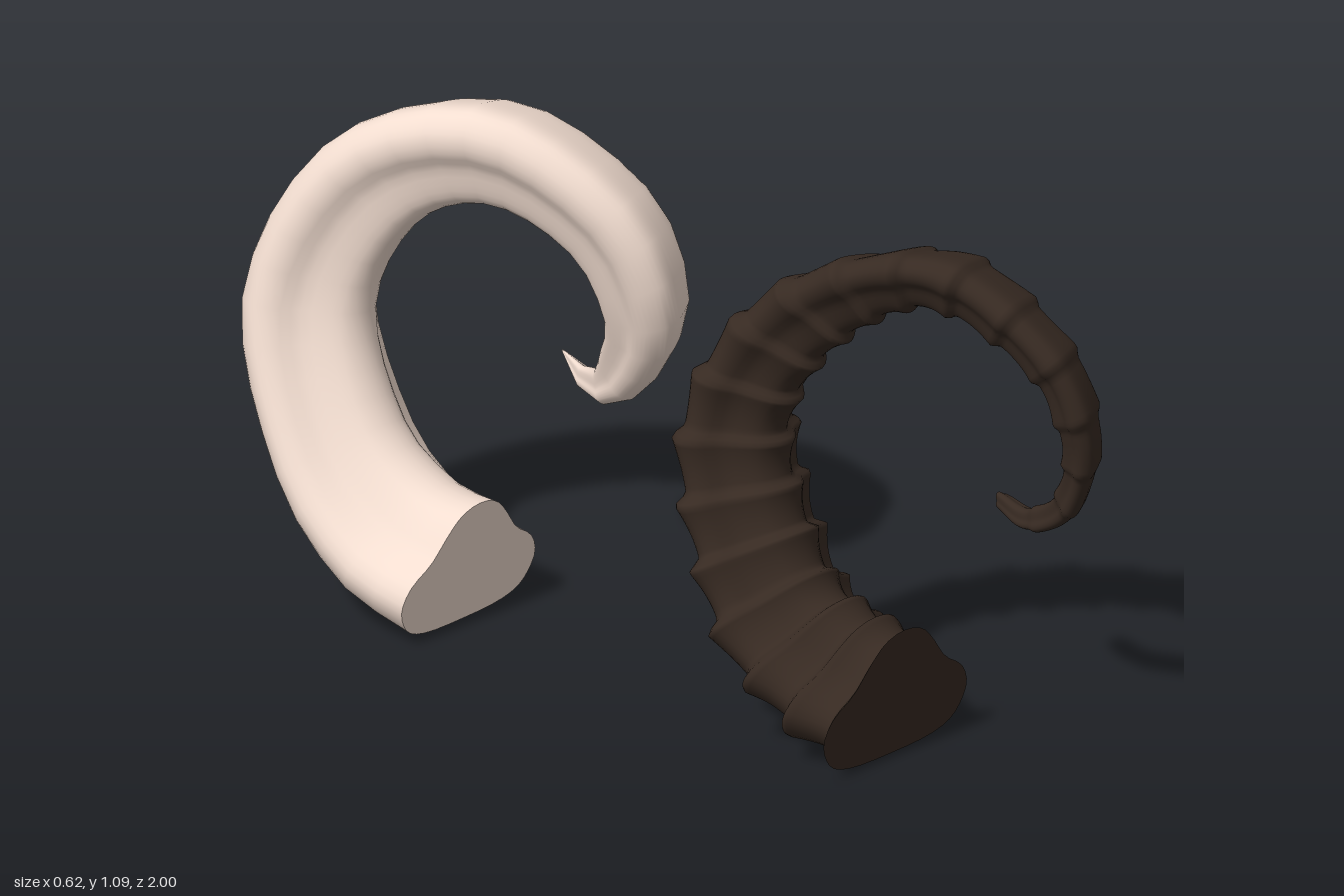
import * as THREE from 'three';

// Half of the bell-shaped cross-section: [half width 0..1, height 0 (outer) .. 1 (inner ridge)]
const BELL = [[0, 0], [0.5, 0.012], [0.8, 0.07], [0.95, 0.19], [1, 0.34], [0.89, 0.5], [0.64, 0.63], [0.45, 0.81], [0.26, 0.95]];
const PIVOT = 0.4;

function bellSection(count) {
  const left = BELL.slice(1).reverse().map(([a, h]) => [-a, h]);
  const pts = [...BELL, [0, 1], ...left].map(([a, h]) => new THREE.Vector3(a, h, 0));
  const curve = new THREE.CatmullRomCurve3(pts, true, 'catmullrom', 0.5);
  return Array.from({ length: count }, (_, i) => curve.getPoint(i / count));
}

const spline = (pts) => new THREE.CatmullRomCurve3(pts, false, 'catmullrom', 0.5);

// Rows: [outer z, outer y, inner z, inner y, centre x, half width], from base to tip
function hornGeometry(rows, rings, swell) {
  const outer = spline(rows.map((r) => new THREE.Vector3(r[4], r[1], r[0])));
  const inner = spline(rows.map((r) => new THREE.Vector3(r[4], r[3], r[2])));
  const width = spline(rows.map((r) => new THREE.Vector3(r[5], 0, 0)));
  const section = bellSection(44);
  const n = section.length;
  const pos = [];
  const index = [];

  for (let i = 0; i <= rings; i++) {
    const u = i / rings;
    const t = outer.getUtoTmapping(u);
    const o = outer.getPoint(t);
    const dir = o.clone().sub(inner.getPoint(t));
    const depth = dir.length();
    dir.normalize();
    const mid = o.clone().addScaledVector(dir, -PIVOT * depth);
    // Sideways axis square to the spiral's path
    const side = dir.clone().cross(outer.getTangent(t)).normalize();
    const hw = Math.max(width.getPoint(t).x, 0.001);
    const roll = 0.45 * u; // the section leans outward along the spiral
    const c = Math.cos(roll), s = Math.sin(roll), k = swell(u);
    for (const p of section) {
      const x = p.x * hw * k;
      const r = (PIVOT - p.y) * depth * k;
      const q = mid.clone().addScaledVector(dir, r * c - x * s).addScaledVector(side, x * c + r * s);
      pos.push(q.x, q.y, q.z);
    }
  }
  for (let i = 0; i < rings; i++) {
    for (let j = 0; j < n; j++) {
      const a = i * n + j, b = i * n + (j + 1) % n;
      index.push(a, a + n, b + n, a, b + n, b);
    }
  }
  // Flat end caps with their own vertices so the rims stay sharp
  for (const ring of [0, rings]) {
    const start = pos.length / 3;
    const centre = [0, 0, 0];
    for (let j = 0; j < n; j++) {
      for (let d = 0; d < 3; d++) {
        const v = pos[(ring * n + j) * 3 + d];
        pos.push(v);
        centre[d] += v / n;
      }
    }
    pos.push(...centre);
    for (let j = 0; j < n; j++) {
      const a = start + j, b = start + (j + 1) % n;
      if (ring === 0) index.push(start + n, a, b);
      else index.push(start + n, b, a);
    }
  }
  const geo = new THREE.BufferGeometry();
  geo.setAttribute('position', new THREE.Float32BufferAttribute(pos, 3));
  geo.setIndex(index);
  geo.computeVertexNormals();
  return geo;
}

// Each growth ring flares slowly toward the tip, then drops back
function growthRings(u) {
  const s = (19 * u + 0.82) % 1;
  const f = s < 0.82 ? Math.pow(s / 0.82, 2) : 0.5 + 0.5 * Math.cos(Math.PI * (s - 0.82) / 0.18);
  return 0.85 + 0.17 * f;
}

export function createModel() {
  const group = new THREE.Group();

  const ridgedRows = [
    [0.665, 0.005, 0.7, 0.285, -0.088, 0.217],
    [0.47, 0.065, 0.585, 0.3, -0.075, 0.205],
    [0.28, 0.215, 0.45, 0.36, -0.055, 0.19],
    [0.145, 0.6, 0.335, 0.6, -0.015, 0.165],
    [0.29, 0.91, 0.43, 0.8, 0.045, 0.13],
    [0.655, 1.06, 0.63, 0.925, 0.1, 0.1],
    [0.92, 0.915, 0.84, 0.835, 0.145, 0.074],
    [0.99, 0.7, 0.9, 0.68, 0.187, 0.055],
    [0.9, 0.495, 0.85, 0.535, 0.235, 0.041],
    [0.76, 0.418, 0.75, 0.46, 0.265, 0.032],
    [0.66, 0.425, 0.655, 0.46, 0.293, 0.018],
  ];
  const smoothRows = [
    [-0.46, 0.005, -0.415, 0.275, -0.08, 0.21],
    [-0.66, 0.065, -0.53, 0.29, -0.07, 0.2],
    [-0.85, 0.25, -0.665, 0.385, -0.055, 0.185],
    [-0.995, 0.6, -0.755, 0.6, -0.01, 0.165],
    [-0.84, 0.95, -0.665, 0.8, 0.045, 0.138],
    [-0.5, 1.085, -0.5, 0.87, 0.095, 0.115],
    [-0.185, 0.94, -0.33, 0.795, 0.145, 0.098],
    [-0.1, 0.7, -0.275, 0.66, 0.183, 0.085],
    [-0.205, 0.5, -0.32, 0.555, 0.225, 0.06],
    [-0.35, 0.412, -0.37, 0.475, 0.26, 0.038],
    [-0.445, 0.424, -0.44, 0.463, 0.285, 0.018],
    [-0.5, 0.465, -0.5, 0.467, 0.304, 0.002],
  ];

  const ridged = new THREE.Mesh(
    hornGeometry(ridgedRows, 260, growthRings),
    new THREE.MeshStandardMaterial({ color: 0x372a22 }),
  );
  ridged.name = 'ridgedHorn';

  const smooth = new THREE.Mesh(
    hornGeometry(smoothRows, 30, () => 1),
    new THREE.MeshStandardMaterial({ color: 0xf2ddd0 }),
  );
  smooth.name = 'smoothHorn';

  group.add(ridged, smooth);
  return group;
}
